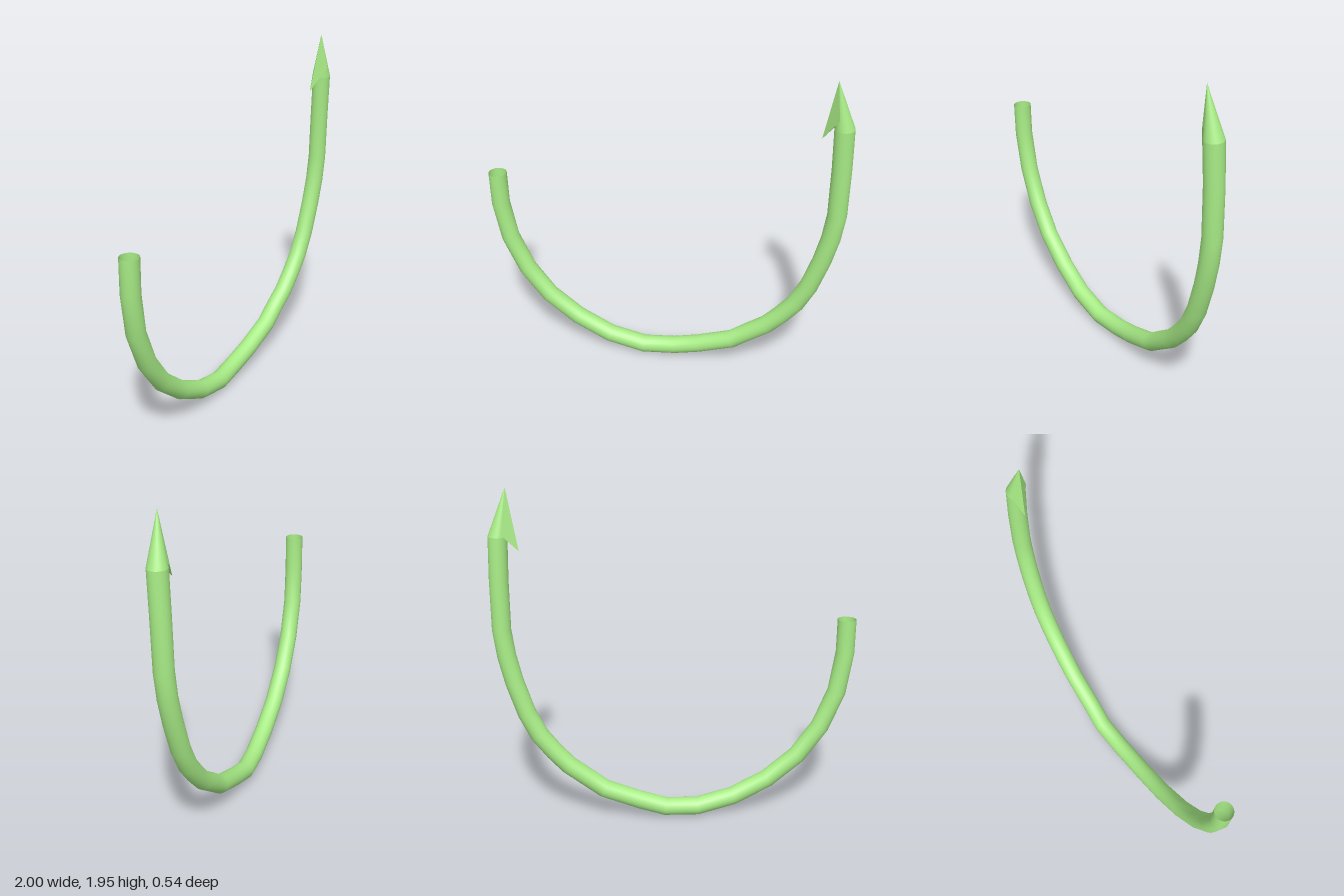
import * as THREE from 'three';

const material = new THREE.MeshStandardMaterial({ color: 0xa8ec86, side: THREE.DoubleSide });
const RADIUS = 0.053;
const SIDES = 20;

// Centre line of the bent rod, from the open end to the shoulder of the point
const PATH = [
  [-0.945, 1.188, 0.217], [-0.945, 0.99, 0.214], [-0.91, 0.755, 0.197], [-0.825, 0.54, 0.17],
  [-0.7, 0.36, 0.135], [-0.53, 0.215, 0.088], [-0.335, 0.11, 0.038], [-0.128, 0.057, -0.022],
  [0.055, 0.07, -0.08], [0.2, 0.115, -0.105], [0.405, 0.195, -0.145], [0.5, 0.27, -0.163],
  [0.605, 0.35, -0.18], [0.685, 0.44, -0.193], [0.765, 0.545, -0.205], [0.83, 0.68, -0.213],
  [0.89, 0.87, -0.218], [0.925, 1.02, -0.219], [0.945, 1.175, -0.219], [0.945, 1.46, -0.212],
  [0.94, 1.695, -0.2],
].map((p) => new THREE.Vector3(...p));
const APEX = new THREE.Vector3(0.892, 1.956, -0.172);

// Skin a list of rings { centre, tangent, radius } as a smooth open tube
function sweep(rings) {
  const positions = [], index = [];
  const planeNormal = new THREE.Vector3(0.22, 0, 0.975).normalize();
  rings.forEach(({ centre, tangent, radius }, i) => {
    const s = planeNormal.clone().addScaledVector(tangent, -planeNormal.dot(tangent)).normalize();
    const b = tangent.clone().cross(s);
    for (let j = 0; j < SIDES; j++) {
      const a = (j / SIDES) * Math.PI * 2;
      const p = centre.clone().addScaledVector(s, radius * Math.cos(a)).addScaledVector(b, radius * Math.sin(a));
      positions.push(p.x, p.y, p.z);
      if (i === rings.length - 1) continue;
      const k = (j + 1) % SIDES;
      const p0 = i * SIDES + j, p1 = i * SIDES + k;
      index.push(p0, p1, p0 + SIDES, p1, p1 + SIDES, p0 + SIDES);
    }
  });
  const geometry = new THREE.BufferGeometry();
  geometry.setAttribute('position', new THREE.Float32BufferAttribute(positions, 3));
  geometry.setIndex(index);
  geometry.computeVertexNormals();
  return geometry;
}

export function createModel() {
  const group = new THREE.Group();
  group.name = 'hook';
  const add = (name, geometry, mat = material) => {
    const mesh = new THREE.Mesh(geometry, mat);
    mesh.name = name;
    group.add(mesh);
  };

  // Bent rod: each ring sits on the bisector of its two segments
  const last = PATH.length - 1;
  const rings = PATH.map((centre, i) => {
    const before = PATH[Math.max(i, 1)].clone().sub(PATH[Math.max(i, 1) - 1]).normalize();
    const after = PATH[Math.min(i, last - 1) + 1].clone().sub(PATH[Math.min(i, last - 1)]).normalize();
    return { centre, tangent: before.add(after).normalize(), radius: RADIUS };
  });
  add('rod', sweep(rings));

  // Slanted conical point
  const shoulder = rings[last];
  add('point', sweep([shoulder, { centre: APEX, tangent: shoulder.tangent, radius: 0.0005 }]));

  // Barb: a sharp wedge hanging from the point on the inner side
  const barb = [0.828, 1.617, -0.195];
  const front = [0.925, 1.755, -0.143];
  const back = [0.905, 1.71, -0.24];
  const apex = APEX.toArray();
  const faces = [apex, barb, front, apex, back, barb, barb, back, front];
  const wedge = new THREE.BufferGeometry();
  wedge.setAttribute('position', new THREE.Float32BufferAttribute(faces.flat(), 3));
  wedge.computeVertexNormals();
  add('barb', wedge);

  return group;
}
